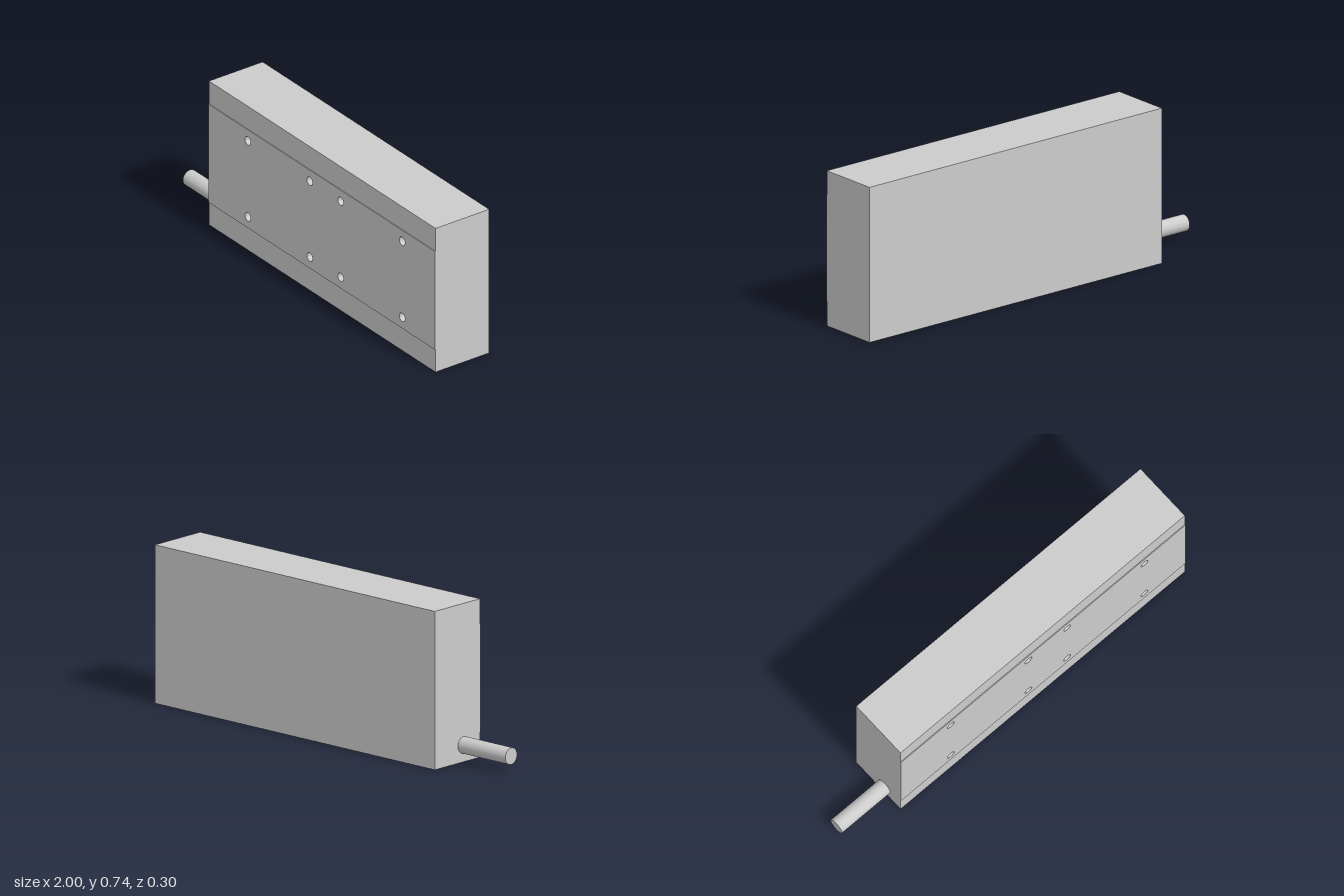
import * as THREE from 'three';
import { toCreasedNormals } from 'three/addons/utils/BufferGeometryUtils.js';

const LEFT = 1, RIGHT = -0.71, HEIGHT = 0.738;
const BACK = -0.152, FRONT = 0.148, PAD = 0.152; // z of the back, front and raised pad
const PAD_LOW = 0.117, PAD_HIGH = 0.621;
const HOLE_R = 0.021, HOLE_DEPTH = 0.08;
const HOLE_X = [-0.411, 0.056, 0.289, 0.754], HOLE_Y = [0.174, 0.564];

export function createModel() {
  const group = new THREE.Group();
  const material = new THREE.MeshStandardMaterial({ color: 0xcccccc });
  const add = (name, geometry) => {
    const mesh = new THREE.Mesh(geometry, material);
    mesh.name = name;
    group.add(mesh);
    return mesh;
  };

  // Housing: stepped side section swept along x, left open where the drilled pad face goes
  const section = new THREE.Shape([
    [BACK, 0], [FRONT, 0], [FRONT, PAD_LOW], [PAD, PAD_LOW],
    [PAD, PAD_HIGH], [FRONT, PAD_HIGH], [FRONT, HEIGHT], [BACK, HEIGHT],
  ].map(([z, y]) => new THREE.Vector2(-z, y)));
  const swept = new THREE.ExtrudeGeometry(section, { depth: LEFT - RIGHT, bevelEnabled: false });
  swept.rotateY(Math.PI / 2).translate(RIGHT, 0, 0);
  const p = swept.attributes.position, kept = [];
  for (let i = 0; i < p.count; i += 3) {
    const corners = [i, i + 1, i + 2];
    if (corners.every((c) => Math.abs(p.getZ(c) - PAD) < 1e-4)) continue;
    for (const c of corners) kept.push(p.getX(c), p.getY(c), p.getZ(c));
  }
  const housing = new THREE.BufferGeometry();
  housing.setAttribute('position', new THREE.Float32BufferAttribute(kept, 3));
  housing.computeVertexNormals();
  add('housing', housing);

  // Pad face with eight round openings, each leading into a blind hole
  const face = new THREE.Shape([
    new THREE.Vector2(RIGHT, PAD_LOW), new THREE.Vector2(LEFT, PAD_LOW),
    new THREE.Vector2(LEFT, PAD_HIGH), new THREE.Vector2(RIGHT, PAD_HIGH),
  ]);
  const well = toCreasedNormals(new THREE.LatheGeometry([
    new THREE.Vector2(HOLE_R, 0),
    new THREE.Vector2(HOLE_R, -HOLE_DEPTH),
    new THREE.Vector2(0, -HOLE_DEPTH),
  ], 24), 0.6);
  well.rotateX(Math.PI / 2);
  for (const x of HOLE_X) {
    for (const y of HOLE_Y) {
      face.holes.push(new THREE.Path().absarc(x, y, HOLE_R, 0, Math.PI * 2, true));
      add('mountingHole', well).position.set(x, y, PAD);
    }
  }
  add('padFace', new THREE.ShapeGeometry(face, 12).translate(0, 0, PAD));

  // Cable stub leaving the right end near the bottom
  const cableLength = RIGHT + 1;
  const cable = new THREE.CylinderGeometry(0.039, 0.039, cableLength, 40);
  cable.rotateZ(Math.PI / 2);
  add('cable', cable).position.set(-1 + cableLength / 2, 0.079, 0.04);

  return group;
}
